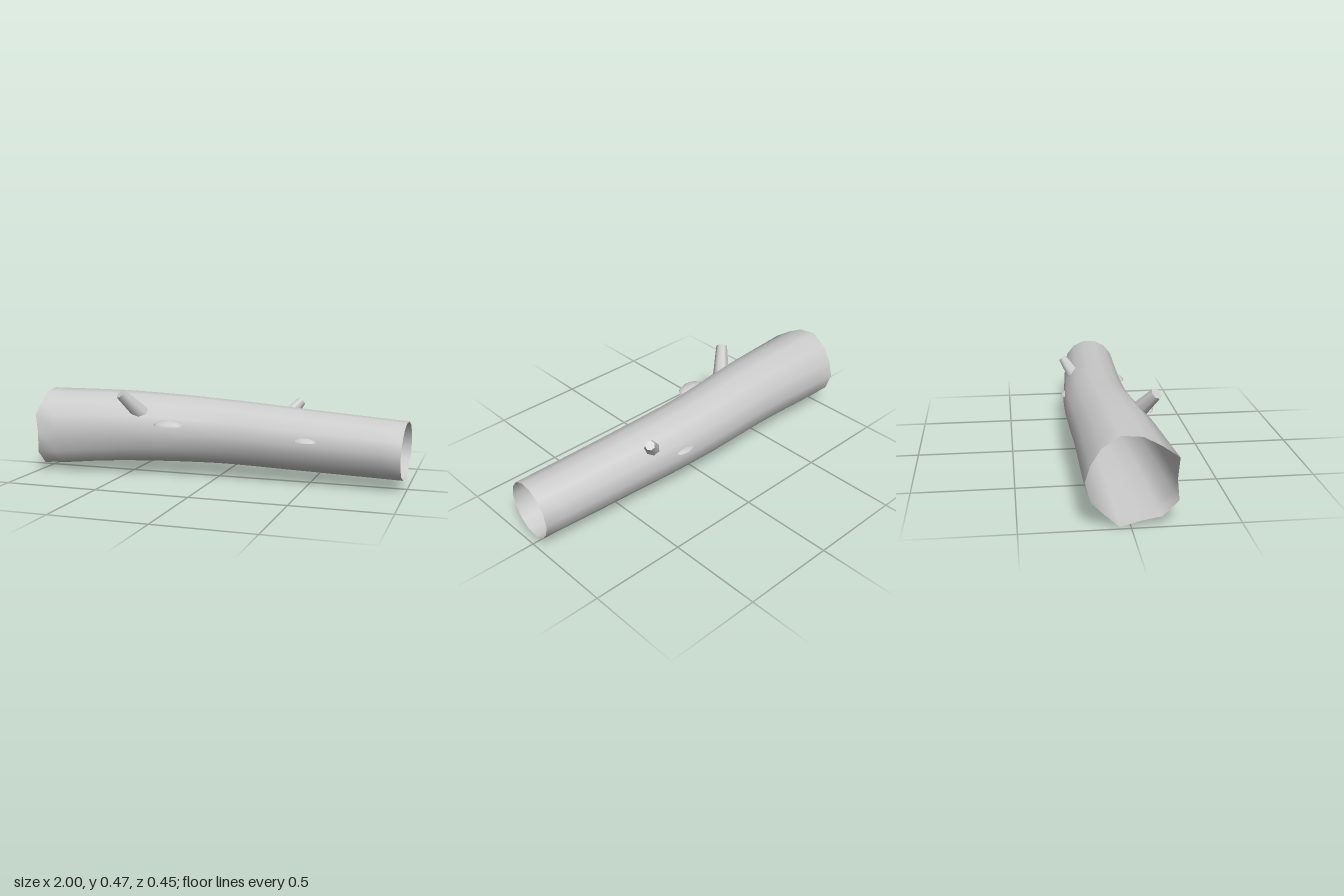
import * as THREE from 'three';

const wood = new THREE.MeshStandardMaterial({ color: 0xcccccc, side: THREE.DoubleSide });
wood.name = 'plain wood';

// Gently bent centre line of the trunk and its radius, from left end to right end
const centre = new THREE.CatmullRomCurve3([
  [-0.99, 0.222, 0], [-0.5, 0.245, -0.02], [0, 0.241, -0.045], [0.5, 0.223, -0.02], [0.99, 0.205, 0.012],
].map((p) => new THREE.Vector3(...p)));
const radii = [0.212, 0.194, 0.174, 0.161, 0.15];

// Uneven outline of the broken end, one radius per side
const rim = [0.205, 0.237, 0.209, 0.215, 0.226, 0.212, 0.202, 0.208, 0.2, 0.192, 0.222, 0.197, 0.226, 0.24];

function trunkGeometry(rings = 20) {
  const sides = rim.length, positions = [], index = [];
  for (let i = 0; i <= rings; i++) {
    const u = i / rings;
    const c = centre.getPoint(u), t = centre.getTangent(u);
    const k = Math.min(3, Math.floor(u * 4));
    const base = THREE.MathUtils.lerp(radii[k], radii[k + 1], u * 4 - k);
    for (let j = 0; j < sides; j++) {
      const a = (j / sides) * Math.PI * 2;
      const r = base + (rim[j] - radii[0]) * (1 - u) ** 2.5;
      const y = Math.sin(a) * r, z = Math.cos(a) * r;
      // each ring leans to stay square to the centre line
      positions.push(c.x - (t.y * y + t.z * z) / t.x, c.y + y, c.z + z);
      if (i < rings) {
        const p = i * sides + j, q = i * sides + ((j + 1) % sides);
        index.push(p, p + sides, q, q, p + sides, q + sides);
      }
    }
  }
  const g = new THREE.BufferGeometry();
  g.setAttribute('position', new THREE.Float32BufferAttribute(positions, 3));
  g.setIndex(index);
  g.computeVertexNormals();
  return g;
}

// Tapered branch stub running from inside the trunk to its cut tip
function stub(name, from, to, r0, r1) {
  const a = new THREE.Vector3(...from), b = new THREE.Vector3(...to);
  const dir = b.clone().sub(a);
  const mesh = new THREE.Mesh(new THREE.CylinderGeometry(r1, r0, dir.length(), 7), wood);
  mesh.position.copy(a).add(b).multiplyScalar(0.5);
  mesh.quaternion.setFromUnitVectors(new THREE.Vector3(0, 1, 0), dir.normalize());
  mesh.name = name;
  return mesh;
}

// Shelf fungus: a flat-bottomed low dome half sunk in the bark
const shelfProfile = [[0, 0], [1, 0], [1, 0], [0.92, 0.4], [0.5, 0.85], [0, 1]].map((p) => new THREE.Vector2(...p));
function shelf(name, position, size, turn) {
  const mesh = new THREE.Mesh(new THREE.LatheGeometry(shelfProfile, 8), wood);
  mesh.position.set(...position);
  mesh.scale.set(...size);
  mesh.rotation.y = turn;
  mesh.name = name;
  return mesh;
}

export function createModel() {
  const log = new THREE.Group();
  log.name = 'hollowLog';
  const trunk = new THREE.Mesh(trunkGeometry(), wood);
  trunk.name = 'trunk';
  log.add(
    trunk,
    stub('frontBranchStub', [-0.375, 0.305, 0.085], [-0.485, 0.458, 0.193], 0.05, 0.031),
    stub('backBranchStub', [0.295, 0.268, -0.095], [0.4, 0.405, -0.195], 0.052, 0.025),
    shelf('largeShelfFungus', [-0.225, 0.295, 0.167], [0.086, 0.028, 0.055], 0.05),
    shelf('smallShelfFungus', [0.495, 0.24, 0.125], [0.066, 0.024, 0.043], -0.05),
    shelf('backShelfFungus', [0.165, 0.262, -0.185], [0.065, 0.018, 0.04], 0.05),
  );
  return log;
}
